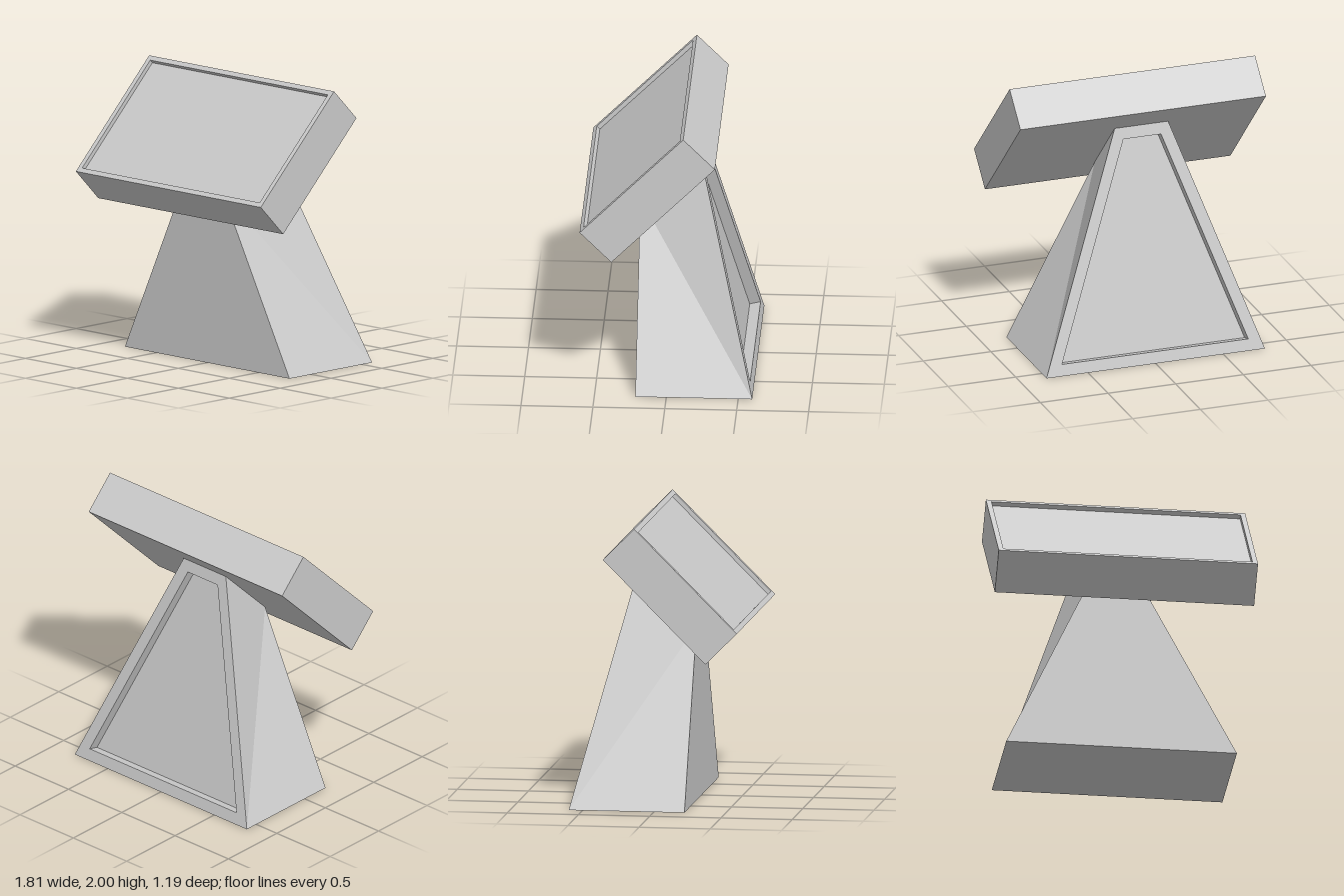
import * as THREE from 'three';

const V = (x, y, z) => new THREE.Vector3(x, y, z);

// Six-sided solid from two matching corner loops. The near loop (anticlockwise
// from outside) becomes a rim of the given width around a sunken panel.
function recessedBlock(name, near, far, rim, depth) {
  const points = [];
  const quad = (a, b, c, d) => points.push(a, b, c, a, c, d);
  const dir = (from, to) => to.clone().sub(from).normalize();

  const normal = dir(near[0], near[1]).cross(dir(near[0], near[3])).normalize();
  const inner = near.map((p, i) => {
    const a = dir(p, near[(i + 1) % 4]);
    const b = dir(p, near[(i + 3) % 4]);
    const sine = a.clone().cross(b).length();
    return p.clone().addScaledVector(a.add(b), rim / sine);
  });
  const floor = inner.map((p) => p.clone().addScaledVector(normal, -depth));

  for (let i = 0; i < 4; i++) {
    const j = (i + 1) % 4;
    quad(near[i], near[j], inner[j], inner[i]); // rim
    quad(inner[i], inner[j], floor[j], floor[i]); // recess wall
    // outer side, with mirrored diagonals on the twisted flanks
    if (i < 2) quad(near[i], far[i], far[j], near[j]);
    else quad(far[i], far[j], near[j], near[i]);
  }
  quad(...floor);
  quad(far[3], far[2], far[1], far[0]);

  const geometry = new THREE.BufferGeometry().setFromPoints(points);
  geometry.computeVertexNormals();
  const mesh = new THREE.Mesh(
    geometry,
    new THREE.MeshStandardMaterial({ color: 0xcccccc, flatShading: true })
  );
  mesh.name = name;
  return mesh;
}

export function createModel() {
  const group = new THREE.Group();
  group.name = 'tiltedDisplayStand';

  // Display box tilted back by 45 degrees, with a shallow screen recess
  const w = 0.907;
  const slab = (yLow, zLow, yHigh, zHigh) => [
    V(-w, yLow, zLow), V(w, yLow, zLow), V(w, yHigh, zHigh), V(-w, yHigh, zHigh),
  ];
  group.add(recessedBlock('display',
    slab(1.28, 0.597, 2, -0.123), slab(1.06, 0.377, 1.78, -0.343), 0.036, 0.03));

  // Tapering pedestal with a slightly off-centre top and a recessed back panel
  const foot = 0.807, topLeft = 0.155, topRight = -0.24;
  const trapezoid = (zFoot, yTop, zTop) => [
    V(foot, 0, zFoot), V(-foot, 0, zFoot), V(topRight, yTop, zTop), V(topLeft, yTop, zTop),
  ];
  group.add(recessedBlock('pedestal',
    trapezoid(-0.597, 1.627, -0.19), trapezoid(0.215, 1.222, 0.215), 0.083, 0.078));

  return group;
}
